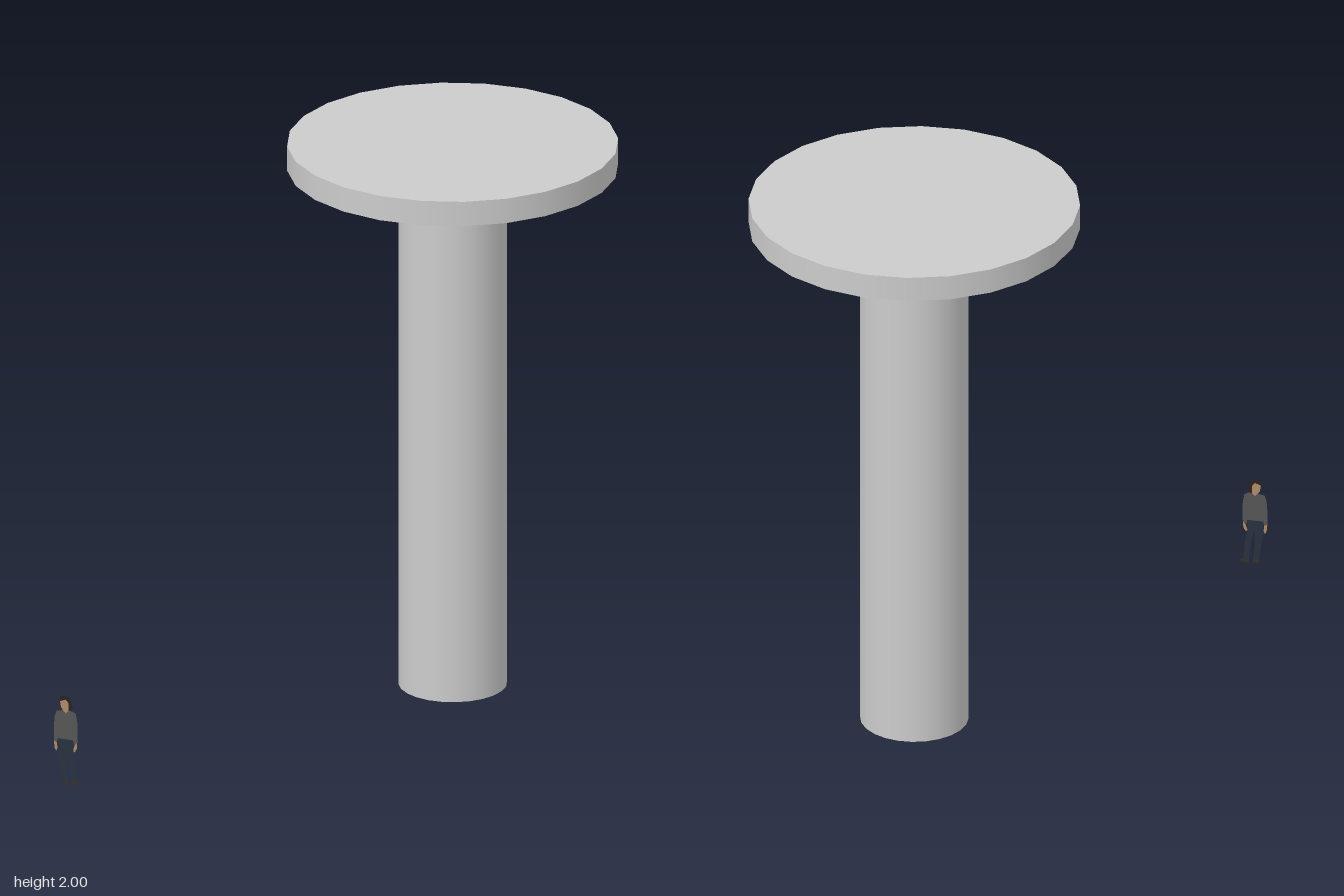
import * as THREE from 'three';

export function createModel() {
  const model = new THREE.Group();
  const grey = new THREE.MeshStandardMaterial({ color: 0xcccccc });

  // Round table: a tall column carrying a 24-sided disc, off to one side
  const table = new THREE.Group();
  table.name = 'pedestalTable';
  table.position.set(0.178, 0, -0.41);
  table.rotation.y = THREE.MathUtils.degToRad(-4.5);
  const addDisc = (name, radius, bottom, top) => {
    const mesh = new THREE.Mesh(new THREE.CylinderGeometry(radius, radius, top - bottom, 24), grey);
    mesh.name = name;
    mesh.position.y = (bottom + top) / 2;
    table.add(mesh);
  };
  addDisc('column', 0.188, 0, 1.91);
  addDisc('tableTop', 0.573, 1.91, 2);
  model.add(table);

  // Flat cut-out of a standing person, for scale
  const person = new THREE.Group();
  person.name = 'standingPerson';
  person.position.set(-0.707, 0, 0.984);
  person.scale.setScalar(0.325 / 61);
  const addPatch = (name, color, ...outlines) => {
    const shapes = outlines.map(o => new THREE.Shape(o.map(([x, y]) => new THREE.Vector2(x, y))));
    const mesh = new THREE.Mesh(new THREE.ShapeGeometry(shapes),
      new THREE.MeshStandardMaterial({ color, side: THREE.DoubleSide }));
    mesh.name = name;
    person.add(mesh);
  };
  addPatch('hair', 0x2a211c,
    [[-4, 57], [-4.5, 59], [-3, 60.7], [-0.5, 61], [2, 60], [3.8, 57.5], [4.6, 54], [4.4, 51], [2, 51], [2, 56], [0, 58.5]]);
  addPatch('face', 0xb08a68,
    [[-4, 57], [0, 58.5], [2, 56], [2, 51], [0, 49], [-2, 51], [-3.4, 53]]);
  addPatch('sweater', 0x555555,
    [[-2, 51], [0, 49], [2, 51], [4.4, 51], [7, 49.5], [8, 44], [8.3, 36], [8, 30], [6, 27], [5, 31],
      [-5.6, 31], [-6.2, 28], [-8.3, 29], [-8.4, 38], [-7.8, 46], [-6.5, 50]]);
  addPatch('hands', 0xb08a68,
    [[-8.3, 29], [-6.2, 28], [-5.8, 24], [-6.8, 22], [-7.8, 24]],
    [[8, 30], [6, 27], [4.9, 24], [5.8, 22.5], [7.6, 25]]);
  addPatch('jeans', 0x27303f,
    [[-5.6, 31], [5, 31], [5.4, 22], [7, 12], [7.4, 3], [4, 3], [3, 12], [0.5, 24],
      [0, 16], [1, 3], [-3, 3], [-4, 12], [-5.6, 22]]);
  addPatch('shoes', 0x33302e,
    [[-3, 3], [1, 3], [1.6, 1], [0, 0], [-2.8, 0.2]],
    [[4, 3], [7.4, 3], [10.4, 1.6], [10, 0.4], [5, 0], [3.6, 1]]);
  model.add(person);

  return model;
}
